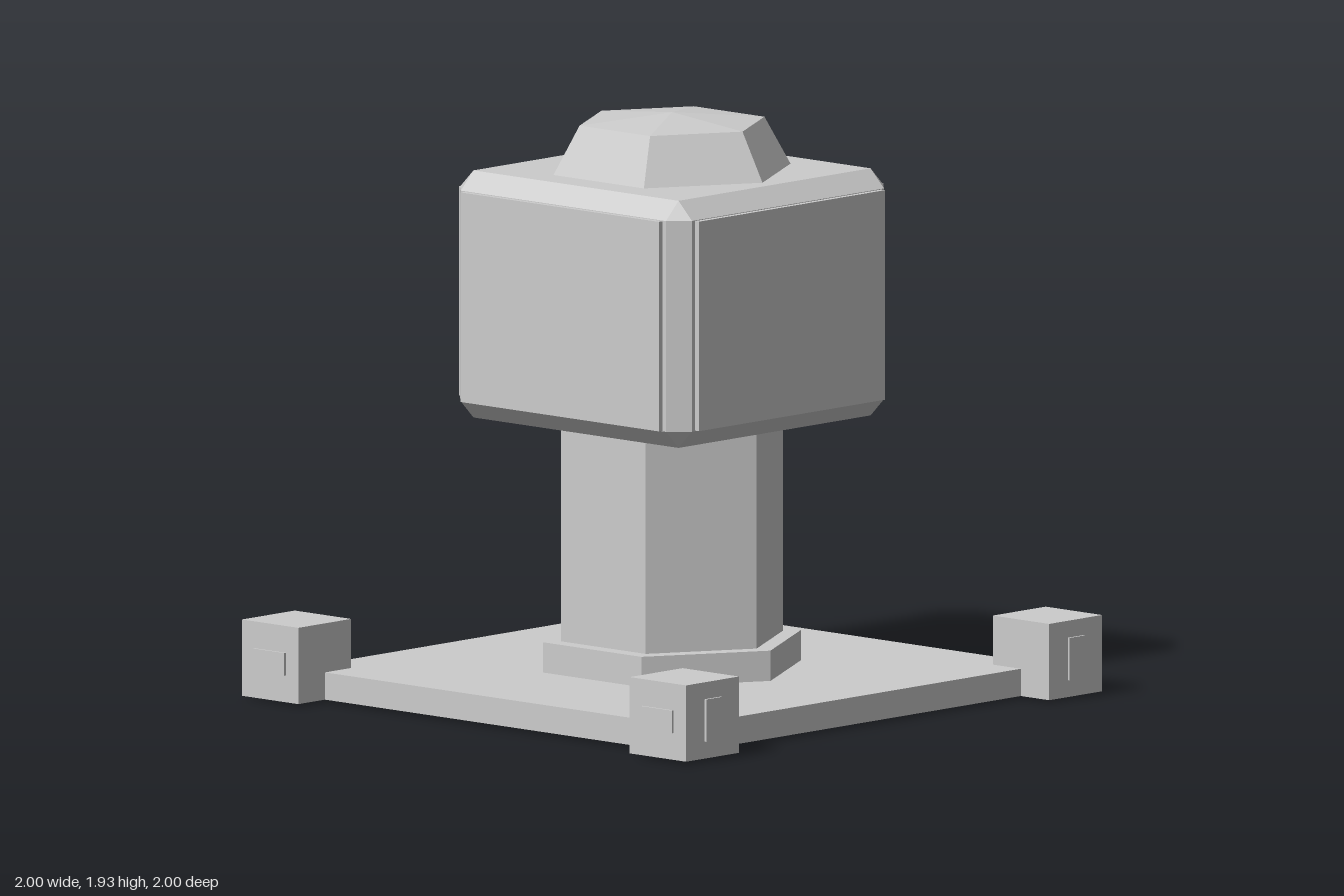
import * as THREE from 'three';
import { ConvexGeometry } from 'three/addons/geometries/ConvexGeometry.js';

const grey = new THREE.MeshStandardMaterial({ color: 0xcccccc, flatShading: true });
grey.name = 'light grey';

function add(parent, name, geometry, x = 0, y = 0, z = 0) {
  const mesh = new THREE.Mesh(geometry, grey);
  mesh.name = name;
  mesh.position.set(x, y, z);
  parent.add(mesh);
  return mesh;
}

// Six-sided prism or frustum with two corners on the x axis
function hexagon(top, bottom, y0, y1) {
  return new THREE.CylinderGeometry(top, bottom, y1 - y0, 6, 1, false, Math.PI / 2)
    .translate(0, (y0 + y1) / 2, 0);
}

// Box with every edge cut at 45 degrees
function chamferedBox(hx, hy, hz, c) {
  const points = [];
  for (const x of [-1, 1]) for (const y of [-1, 1]) for (const z of [-1, 1]) {
    points.push(
      new THREE.Vector3(x * hx, y * (hy - c), z * (hz - c)),
      new THREE.Vector3(x * (hx - c), y * hy, z * (hz - c)),
      new THREE.Vector3(x * (hx - c), y * (hy - c), z * hz));
  }
  return new ConvexGeometry(points);
}

export function createModel() {
  const model = new THREE.Group();
  model.name = 'pedestal';

  // Floor plate and column
  add(model, 'basePlate', new THREE.BoxGeometry(1.73, 0.09, 1.73), 0, 0.055, 0);
  add(model, 'columnFoot', hexagon(0.44, 0.44, 0.09, 0.2));
  add(model, 'column', hexagon(0.378, 0.378, 0.1, 0.95));

  // Chamfered head with a raised panel on each side
  add(model, 'head', chamferedBox(0.518, 0.408, 0.518, 0.06), 0, 1.333, 0);
  for (const s of [-1, 1]) {
    add(model, 'sidePanel', new THREE.BoxGeometry(0.04, 0.692, 0.886), s * 0.516, 1.333, 0);
    add(model, 'facePanel', new THREE.BoxGeometry(0.886, 0.692, 0.04), 0, 1.333, s * 0.516);
  }

  // Faceted cap
  add(model, 'cap', hexagon(0.315, 0.41, 1.73, 1.9));
  add(model, 'capTip', hexagon(0, 0.315, 1.9, 1.93));

  // Corner blocks with thin plates on the outer and lower faces
  for (const sx of [-1, 1]) for (const sz of [-1, 1]) {
    const corner = new THREE.Group();
    corner.name = 'cornerBlock';
    corner.position.set(sx * 0.866, 0.136, sz * 0.866);
    add(corner, 'block', new THREE.BoxGeometry(0.252, 0.252, 0.252));
    add(corner, 'outerPlate', new THREE.BoxGeometry(0.009, 0.14, 0.075), sx * 0.1295, 0, 0);
    add(corner, 'endPlate', new THREE.BoxGeometry(0.14, 0.075, 0.009), 0, 0, sz * 0.1295);
    add(corner, 'footPlate', new THREE.BoxGeometry(0.075, 0.009, 0.14), 0, -0.1305, 0);
    model.add(corner);
  }
  return model;
}
